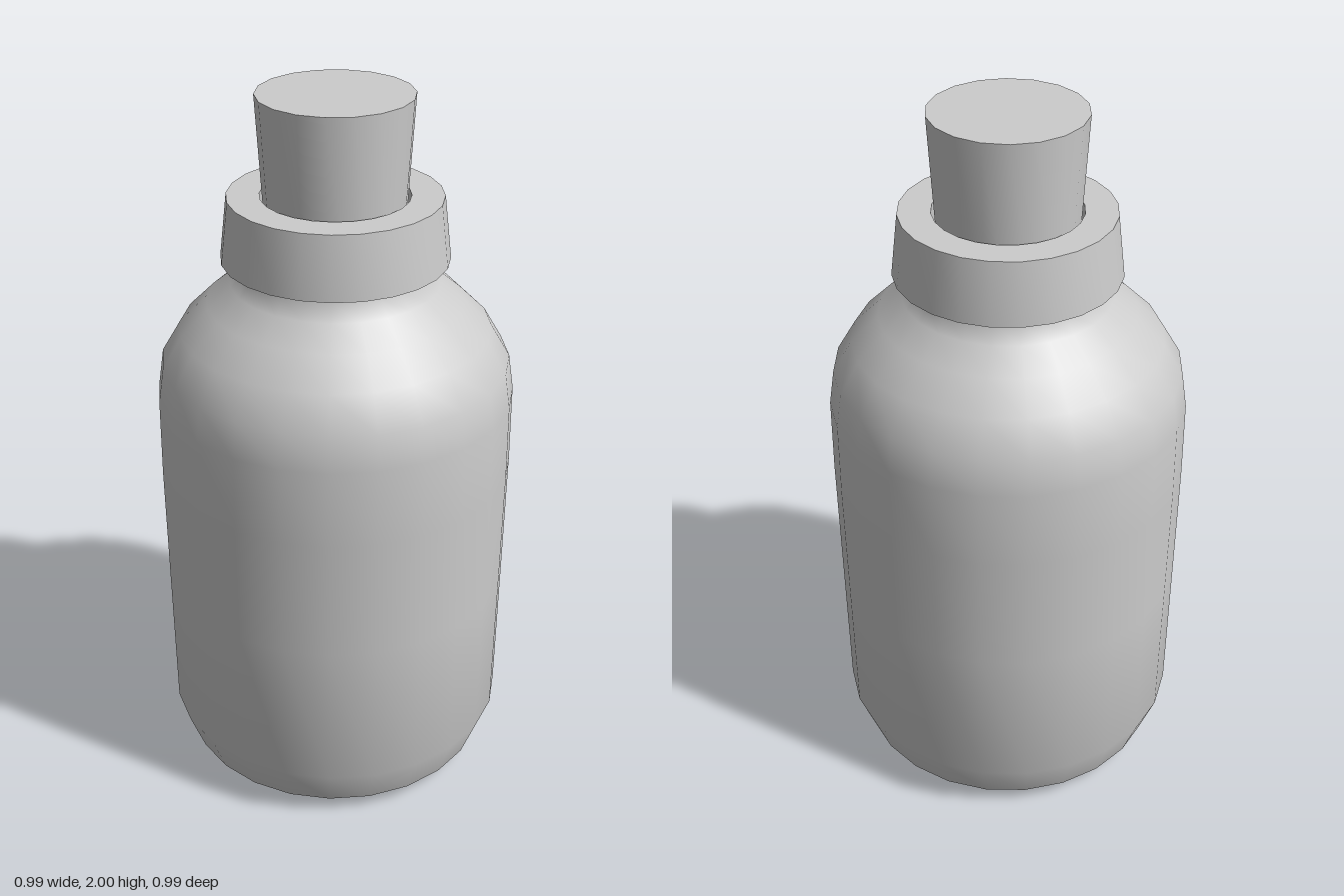
import * as THREE from 'three';
import { toCreasedNormals } from 'three/addons/utils/BufferGeometryUtils.js';

const material = new THREE.MeshStandardMaterial({ color: 0xcccccc });

// Revolve a profile of [radius, height] pairs, keeping sharp rims sharp
function turned(name, profile, sides, start = 0) {
  const points = profile.map(([r, y]) => new THREE.Vector2(r, y));
  const lathe = new THREE.LatheGeometry(points, sides, start);
  const mesh = new THREE.Mesh(toCreasedNormals(lathe, 0.87), material);
  mesh.name = name;
  return mesh;
}

export function createModel() {
  const bottle = new THREE.Group();
  bottle.name = 'corkedBottle';

  // Body: shallow conical base, straight wall, rounded shoulder, short neck
  bottle.add(turned('body', [
    [0, 0], [0.2, 0.005], [0.445, 0.05], [0.488, 0.165], [0.492, 0.6],
    [0.495, 0.95], [0.493, 1.17], [0.478, 1.27], [0.425, 1.36],
    [0.35, 1.435], [0.285, 1.49], [0.252, 1.53], [0.252, 1.58],
  ], 24));

  // Collar: tapered ring with an open mouth
  bottle.add(turned('collar', [
    [0.2, 1.557], [0.308, 1.557], [0.288, 1.73], [0.2, 1.73], [0.2, 1.557],
  ], 24));

  // Cork: widens towards the top and reaches down into the neck
  bottle.add(turned('cork', [
    [0, 1.5], [0.179, 1.5], [0.208, 2], [0, 2],
  ], 18, Math.PI / 2));

  return bottle;
}
